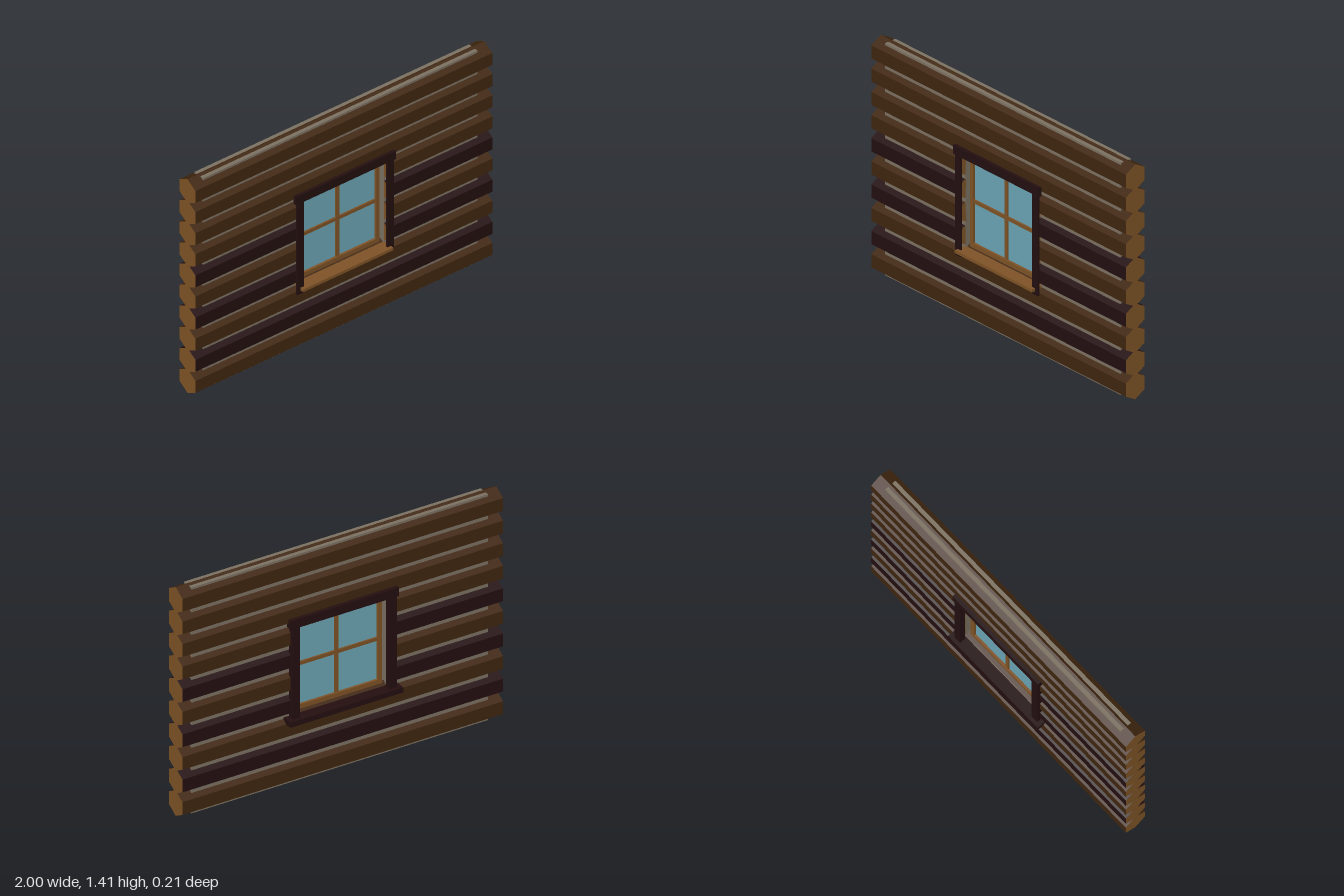
import * as THREE from 'three';

const mat = (name, color) => {
  const m = new THREE.MeshStandardMaterial({ color });
  m.name = name;
  return m;
};

export function createModel() {
  const brown = mat('log brown', 0x40260f);
  const dark = mat('dark stained wood', 0x240f10);
  const cut = mat('cut wood', 0x7f5326);
  const mortar = mat('mortar', 0x7c7262);
  const glass = mat('glass', 0x6ca6b5);

  const root = new THREE.Group();
  root.name = 'logWallWithWindow';
  const group = (name) => {
    const g = new THREE.Group();
    g.name = name;
    root.add(g);
    return g;
  };

  // Box given by its limits on each axis
  const box = (parent, name, material, [x0, x1], [y0, y1], [z0, z1]) => {
    const mesh = new THREE.Mesh(new THREE.BoxGeometry(x1 - x0, y1 - y0, z1 - z0), material);
    mesh.position.set((x0 + x1) / 2, (y0 + y1) / 2, (z0 + z1) / 2);
    mesh.name = name;
    parent.add(mesh);
  };

  // Six-sided logs with a ridge on top; four courses are cut for the window
  const R = 0.0785, pitch = 0.139, wallZ = 0.002, open = 0.295;
  const logs = group('logs');
  const addLog = (row, x0, x1) => {
    const geo = new THREE.CylinderGeometry(R, R, x1 - x0, 6)
      .rotateY(Math.PI / 2).rotateZ(Math.PI / 2).toNonIndexed();
    geo.computeVertexNormals();
    const mesh = new THREE.Mesh(geo, [[1, 3, 5].includes(row) ? dark : brown, cut, cut]);
    mesh.position.set((x0 + x1) / 2, R + row * pitch, wallZ);
    mesh.name = 'log' + (row + 1);
    logs.add(mesh);
  };
  for (let row = 0; row < 10; row++) {
    if (row >= 3 && row <= 6) {
      addLog(row, -1, -open);
      addLog(row, open, 1);
    } else addLog(row, -1, 1);
  }

  // Mortar core between the logs, with the window opening
  const rect = (Type, x, y0, y1) => new Type([
    new THREE.Vector2(-x, y0), new THREE.Vector2(x, y0),
    new THREE.Vector2(x, y1), new THREE.Vector2(-x, y1)]);
  const slab = rect(THREE.Shape, 0.925, 0.01, 1.4);
  slab.holes.push(rect(THREE.Path, open, 0.415, 0.985));
  const core = new THREE.Mesh(
    new THREE.ExtrudeGeometry(slab, { depth: 0.074, bevelEnabled: false }), mortar);
  core.position.z = wallZ - 0.037;
  core.name = 'mortarCore';
  root.add(core);

  // Window sash with crossing bars and one sheet of glass
  const sash = group('windowSash');
  const sashZ = [-0.012, 0.022], barZ = [-0.007, 0.017];
  for (const s of [-1, 1]) {
    const x = s < 0 ? [-0.278, -0.253] : [0.253, 0.278];
    box(sash, 'sashStile', cut, x, [0.428, 0.98], sashZ);
  }
  box(sash, 'sashTopRail', cut, [-0.253, 0.253], [0.954, 0.98], sashZ);
  box(sash, 'sashBottomRail', cut, [-0.253, 0.253], [0.428, 0.455], sashZ);
  box(sash, 'verticalBar', cut, [-0.011, 0.011], [0.455, 0.954], barZ);
  box(sash, 'horizontalBar', cut, [-0.253, 0.253], [0.693, 0.715], barZ);
  box(sash, 'glassPane', glass, [-0.253, 0.253], [0.455, 0.954], [0.002, 0.008]);

  // Trim around the window on both faces
  const front = group('frontTrim'), back = group('backTrim');
  for (const s of [-1, 1]) {
    const x = s < 0 ? [-0.326, -0.28] : [0.28, 0.326];
    box(front, 'frontPost', dark, x, [0.385, 0.983], [0.075, 0.086]);
    box(back, 'backPost', dark, x, [0.382, 0.983], [-0.086, -0.05]);
  }
  box(front, 'frontHeader', dark, [-0.337, 0.337], [0.983, 1.037], [0.068, 0.088]);
  box(front, 'frontSill', cut, [-0.304, 0.304], [0.407, 0.425], [0.03, 0.107]);
  box(back, 'backHeader', dark, [-0.337, 0.337], [0.983, 1.037], [-0.089, -0.048]);
  box(back, 'backSill', dark, [-0.352, 0.352], [0.394, 0.426], [-0.107, -0.04]);

  return root;
}
